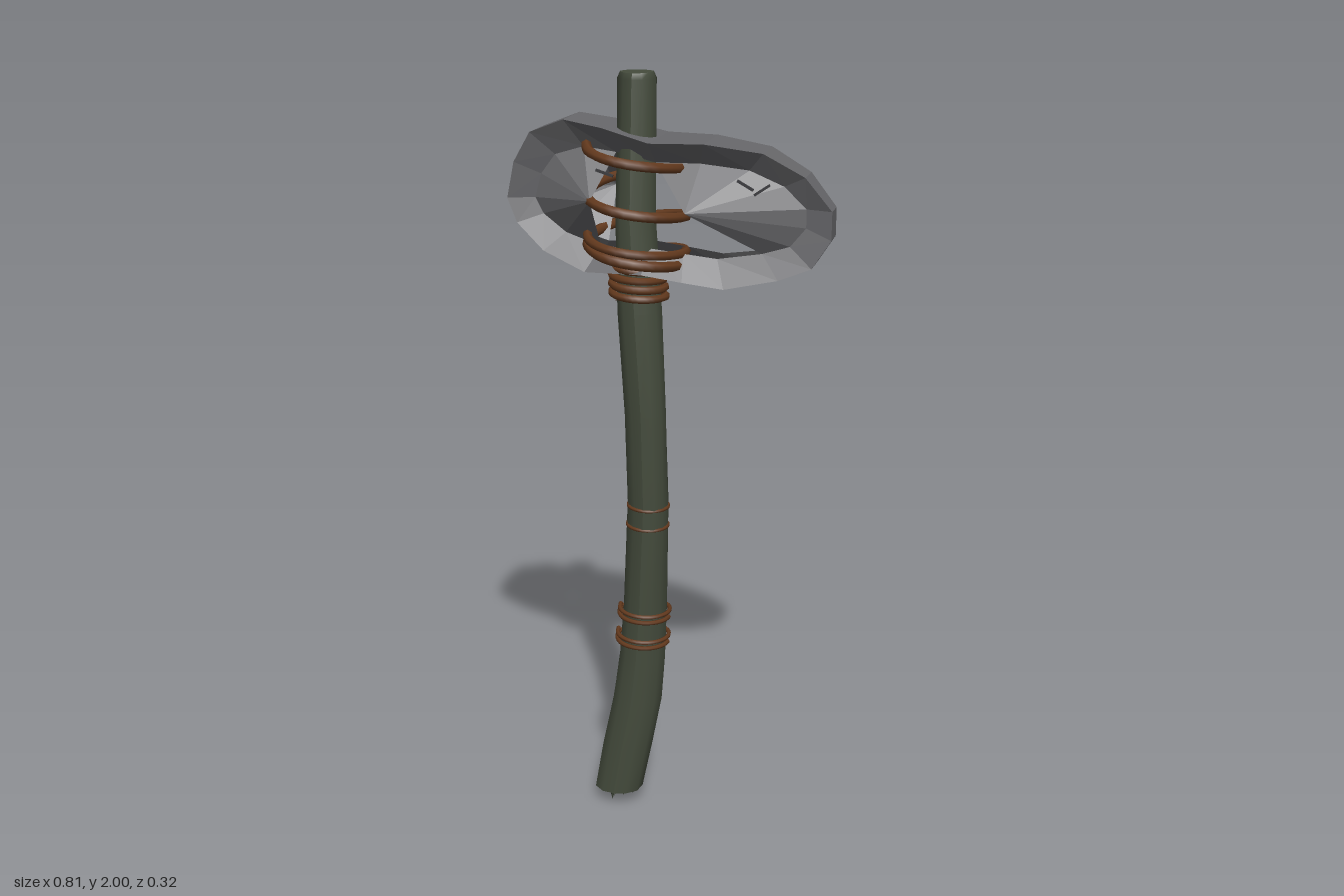
import * as THREE from 'three';

const wood = new THREE.MeshStandardMaterial({ name: 'mossy wood', color: 0x454c3d });
const stone = new THREE.MeshStandardMaterial({ name: 'grey stone', color: 0x68686b, flatShading: true, side: THREE.DoubleSide });
const cord = new THREE.MeshStandardMaterial({ name: 'brown cord', color: 0x643a1e });
const crack = new THREE.MeshStandardMaterial({ name: 'dark chip', color: 0x3c3c3f, side: THREE.DoubleSide });

// Handle stations: y, centre x, centre z, radius
const STATIONS = [
  [0.04, -0.15, -0.025, 0.066], [0.18, -0.125, -0.026, 0.068], [0.32, -0.098, -0.027, 0.067],
  [0.45, -0.083, -0.025, 0.063], [0.6, -0.072, -0.02, 0.059], [0.9, -0.057, -0.004, 0.054],
  [1.15, -0.06, 0.006, 0.054], [1.42, -0.073, 0.012, 0.056], [1.65, -0.086, 0.002, 0.051],
  [1.985, -0.084, -0.015, 0.048], [2.0, -0.084, -0.015, 0.041],
];

function handleAt(y) {
  let i = 0;
  while (i < STATIONS.length - 2 && y > STATIONS[i + 1][0]) i++;
  const a = STATIONS[i], b = STATIONS[i + 1];
  const t = THREE.MathUtils.clamp((y - a[0]) / (b[0] - a[0]), 0, 1);
  return a.map((v, k) => THREE.MathUtils.lerp(v, b[k], t));
}

function add(group, name, geometry, material) {
  const mesh = new THREE.Mesh(geometry, material);
  mesh.name = name;
  group.add(mesh);
  return mesh;
}

// Bent branch: a cylinder whose rings follow the stations
function handleGeometry() {
  const rows = STATIONS.length - 1;
  const geo = new THREE.CylinderGeometry(1, 1, 1, 12, rows);
  const p = geo.attributes.position;
  for (let i = 0; i < p.count; i++) {
    const [y, cx, cz, r] = STATIONS[Math.round((p.getY(i) + 0.5) * rows)];
    const x = p.getX(i), z = p.getZ(i);
    const k = r * (1 + 0.04 * Math.sin(3 * Math.atan2(z, x) + 5 * y));
    p.setXYZ(i, cx + x * k, y, cz + z * k);
  }
  geo.computeVertexNormals();
  return geo;
}

// Helical cord; the angle runs left, front, right, back as it descends
function coil(yTop, yBottom, turns, start, thick, place) {
  const pts = [];
  const n = Math.ceil(turns * 16);
  for (let i = 0; i <= n; i++) {
    const a = start + (i / n) * turns * Math.PI * 2;
    const y = THREE.MathUtils.lerp(yTop, yBottom, i / n);
    const [cx, cz, rx, rz] = place(y);
    pts.push(new THREE.Vector3(cx - rx * Math.cos(a), y, cz + rz * Math.sin(a)));
  }
  return new THREE.TubeGeometry(new THREE.CatmullRomCurve3(pts), n * 2, thick, 6);
}

const around = (gap) => (y) => {
  const [, cx, cz, r] = handleAt(y);
  return [cx, cz, r + gap, r + gap];
};

// Stone head outline, clockwise seen from the front
const RIM = [
  [-0.405, 1.69], [-0.385, 1.78], [-0.34, 1.855], [-0.25, 1.89], [-0.15, 1.875], [-0.03, 1.845],
  [0.1, 1.845], [0.24, 1.825], [0.34, 1.77], [0.405, 1.69], [0.405, 1.62], [0.36, 1.55],
  [0.28, 1.52], [0.15, 1.495], [0.05, 1.51], [-0.05, 1.525], [-0.2, 1.52], [-0.31, 1.565], [-0.38, 1.63],
];
const MID_Z = -0.012;

function headGeometry() {
  const pos = [];
  const tri = (a, b, c, flip) => pos.push(...a, ...(flip ? c : b), ...(flip ? b : c));
  const quad = (a, b, c, d, flip) => { tri(a, b, c, flip); tri(a, c, d, flip); };
  const half = (x) => (x < -0.03
    ? THREE.MathUtils.mapLinear(x, -0.41, -0.03, 0.047, 0.1)
    : THREE.MathUtils.mapLinear(x, -0.03, 0.41, 0.1, 0.033));
  const n = RIM.length;
  const outer = (i, s) => {
    const [x, y] = RIM[i % n];
    return [x, y, MID_Z + s * half(x)];
  };
  const inner = (i, s) => {
    const [x, y] = RIM[i % n];
    return [x * 0.84, 1.69 + (y - 1.69) * 0.66, MID_Z + s * half(x) * 0.45];
  };
  // Flat outer band
  for (let i = 0; i < n; i++) quad(outer(i, 1), outer(i + 1, 1), outer(i + 1, -1), outer(i, -1), true);
  for (const s of [1, -1]) {
    // Hollow bevel inside the band
    for (let i = 0; i < n; i++) quad(outer(i, s), outer(i + 1, s), inner(i + 1, s), inner(i, s), s > 0);
    // Two pointed lobes, open around the handle
    const right = [0.07, 1.69, MID_Z + s * 0.142];
    const left = [-0.17, 1.705, MID_Z + s * 0.122];
    for (let i = 5; i < 12; i++) tri(right, inner(i, s), inner(i + 1, s), s > 0);
    for (let i = 16; i < 23; i++) tri(left, inner(i, s), inner(i + 1, s), s > 0);
  }
  const geo = new THREE.BufferGeometry();
  geo.setAttribute('position', new THREE.Float32BufferAttribute(pos, 3));
  geo.computeVertexNormals();
  return geo;
}

export function createModel() {
  const model = new THREE.Group();
  model.name = 'stoneAxe';

  add(model, 'handle', handleGeometry(), wood);

  // Splinters under the broken end
  for (let i = 0; i < 9; i++) {
    const a = i * 2.4, r = 0.016 * Math.sqrt(i);
    const h = 0.025 + 0.02 * ((i * 7) % 4) / 3;
    const s = add(model, 'splinter', new THREE.ConeGeometry(0.011, h, 4), wood);
    s.rotation.x = Math.PI;
    s.position.set(-0.15 + r * Math.cos(a), 0.045 - h / 2, -0.025 + r * Math.sin(a));
  }

  add(model, 'stoneHead', headGeometry(), stone);

  // Chips on the stone faces
  for (const [x, y, z, tilt] of [
    [0.2, 1.75, 0.055, -0.5], [0.24, 1.74, 0.052, 0.6], [-0.14, 1.77, 0.082, -0.3],
    [0.24, 1.74, -0.08, -0.5], [0.3, 1.68, -0.07, 0.6], [-0.22, 1.76, -0.105, 0.3],
  ]) {
    const chip = add(model, 'chip', new THREE.BoxGeometry(0.045, 0.006, 0.006), crack);
    chip.position.set(x, y, z);
    chip.rotation.z = tilt;
  }

  // Loose binding round head and handle
  const wide = () => [-0.082, 0, 0.12, 0.146];
  add(model, 'headBinding', coil(1.83, 1.52, 2.6, 0.3, 0.013, wide), cord);
  add(model, 'headBindingLower', coil(1.615, 1.53, 0.9, 0, 0.012, wide), cord);
  // Tight binding below the head
  add(model, 'neckBinding', coil(1.535, 1.445, 4, 0, 0.01, around(0.012)), cord);
  // Grip bindings
  for (const y of [0.595, 0.52]) {
    add(model, 'gripBinding', coil(y, y - 0.025, 1.5, 0, 0.006, around(0.008)), cord);
  }
  // Cords sunk into the wood
  for (const y of [0.895, 0.84]) {
    add(model, 'sunkenCord', coil(y, y - 0.008, 1, 0, 0.005, around(-0.002)), cord);
  }
  return model;
}
